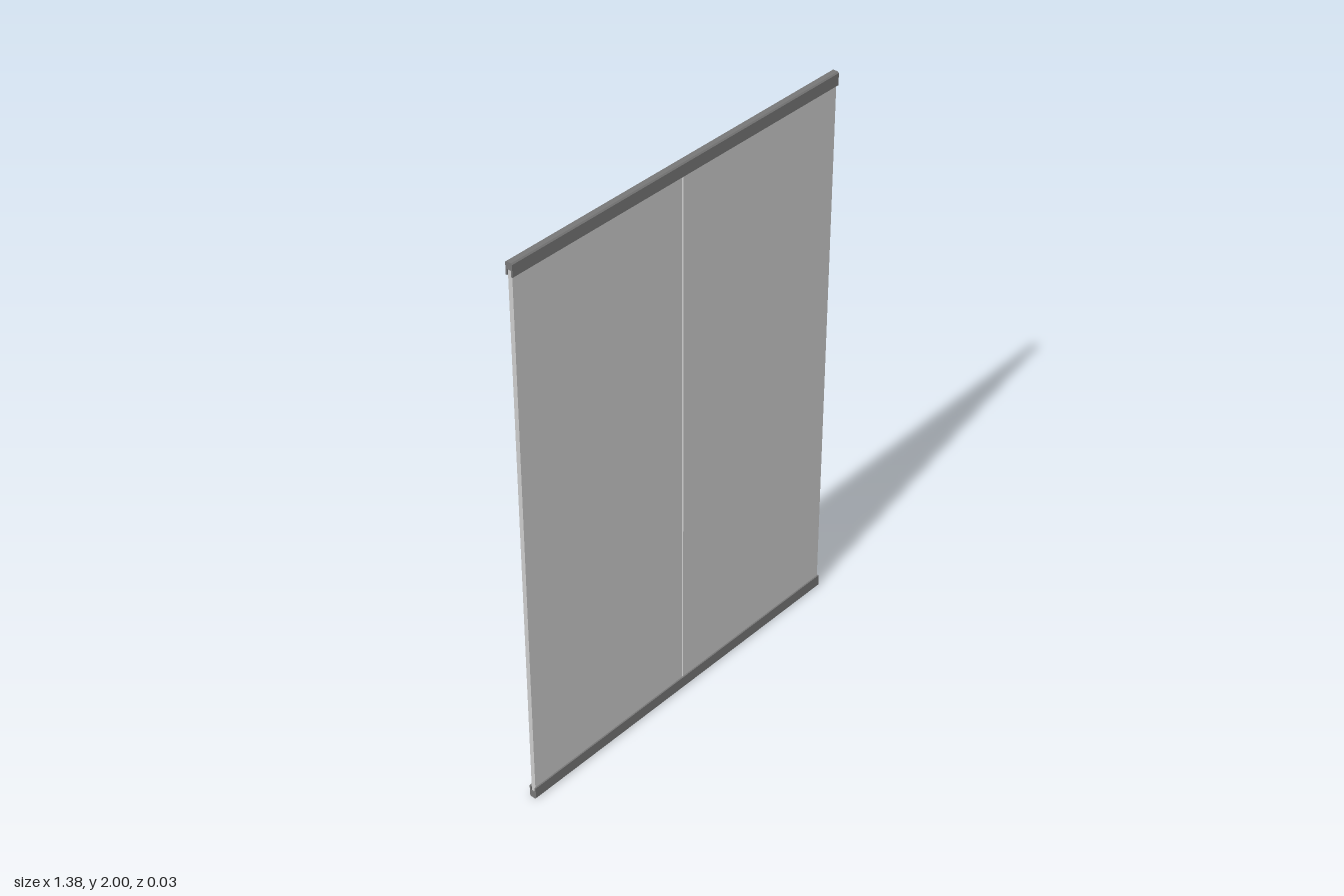
import * as THREE from 'three';

export function createModel() {
  const group = new THREE.Group();
  const glass = new THREE.MeshStandardMaterial({ color: 0xcccccc });
  const metal = new THREE.MeshStandardMaterial({ color: 0x777777, flatShading: true });

  const halfW = 0.69, railH = 0.045, railZ = 0.013, paneZ = 0.008;
  const web = 0.025, chamfer = 0.004, gap = 0.006;

  // U-shaped channel profile, open side up, outer corners chamfered
  const profile = new THREE.Shape([
    [-railZ + chamfer, 0], [railZ - chamfer, 0], [railZ, chamfer], [railZ, railH],
    [paneZ, railH], [paneZ, web], [-paneZ, web], [-paneZ, railH],
    [-railZ, railH], [-railZ, chamfer],
  ].map(([x, y]) => new THREE.Vector2(x, y)));

  const railGeo = new THREE.ExtrudeGeometry(profile, { depth: halfW * 2, bevelEnabled: false });
  railGeo.translate(0, 0, -halfW).rotateY(Math.PI / 2);

  const bottomRail = new THREE.Mesh(railGeo, metal);
  bottomRail.name = 'bottomRail';
  const topRail = new THREE.Mesh(railGeo, metal);
  topRail.name = 'topRail';
  topRail.rotation.x = Math.PI;
  topRail.position.y = 2;
  group.add(bottomRail, topRail);

  // Two door panes with a narrow gap between them, seated in the rails
  const paneW = halfW - 0.004 - gap / 2;
  const paneGeo = new THREE.BoxGeometry(paneW, 2 - 2 * web, paneZ * 2);
  for (const [name, side] of [['leftPane', 1], ['rightPane', -1]]) {
    const pane = new THREE.Mesh(paneGeo, glass);
    pane.name = name;
    pane.position.set(side * (gap / 2 + paneW / 2), 1, 0);
    group.add(pane);
  }
  return group;
}
